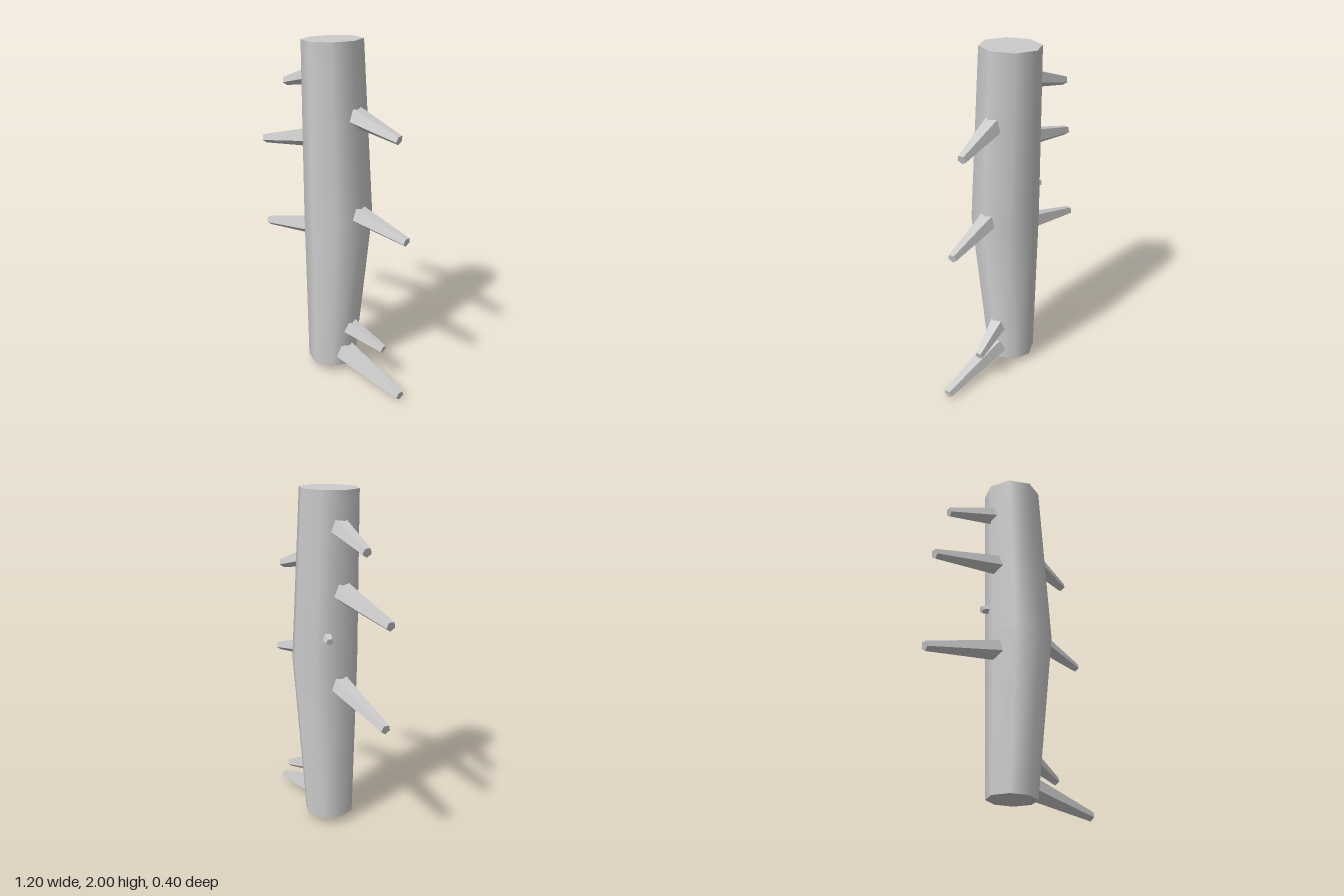
import * as THREE from 'three';

const bark = new THREE.MeshStandardMaterial({ color: 0xcccccc });
bark.name = 'pale grey bark';
const twigBark = new THREE.MeshStandardMaterial({ color: 0xcccccc, flatShading: true });
twigBark.name = 'pale grey branch';

// Eight-sided trunk that swells and leans to its left at mid height
function createTrunk() {
  const rings = [
    { x: 0.005, y: 0.04, r: 0.142, tilt: -0.035 },
    { x: 0.056, y: 1.0, r: 0.195, tilt: 0 },
    { x: 0.004, y: 1.995, r: 0.17, tilt: 0.03 },
  ];
  const geometry = new THREE.CylinderGeometry(1, 1, 2, 8, 2);
  const p = geometry.attributes.position;
  for (let i = 0; i < p.count; i++) {
    const ring = rings[Math.round(p.getY(i)) + 1];
    const dx = p.getX(i) * ring.r;
    p.setXYZ(i, ring.x + dx, ring.y + dx * ring.tilt, p.getZ(i) * ring.r * 1.02);
  }
  const trunk = new THREE.Mesh(geometry, bark);
  trunk.name = 'trunk';
  return trunk;
}

// Tapered five-sided branch, one ridge pointing down, rooted inside the trunk
function createBranch(name, root, tip, rootRadius, tipRadius) {
  const a = new THREE.Vector3(...root);
  const b = new THREE.Vector3(...tip);
  const along = b.clone().sub(a).normalize();
  a.addScaledVector(along, -0.05);
  const down = new THREE.Vector3(0, -1, 0);
  down.addScaledVector(along, -down.dot(along)).normalize();
  const side = new THREE.Vector3().crossVectors(along, down);

  const geometry = new THREE.CylinderGeometry(tipRadius, rootRadius, a.distanceTo(b), 5);
  geometry.applyMatrix4(new THREE.Matrix4().makeBasis(side, along, down));
  const branch = new THREE.Mesh(geometry, twigBark);
  branch.position.copy(a).add(b).multiplyScalar(0.5);
  branch.name = name;
  return branch;
}

export function createModel() {
  const model = new THREE.Group();
  model.name = 'branchedTrunk';
  model.add(createTrunk());

  // name, root on the trunk, tip, root radius, tip radius
  const branches = [
    ['leftUpperBranch', [0.19, 1.59, -0.012], [0.472, 1.512, -0.044], 0.064, 0.028],
    ['leftMiddleBranch', [0.23, 1.033, -0.003], [0.56, 0.963, -0.03], 0.062, 0.027],
    ['leftLowerBranch', [0.16, 0.288, -0.012], [0.387, 0.215, -0.055], 0.06, 0.026],
    ['leftLowestBranch', [0.13, 0.122, 0.01], [0.592, 0.029, 0.017], 0.071, 0.029],
    ['rightUpperBranch', [-0.14, 1.785, -0.015], [-0.445, 1.698, -0.046], 0.062, 0.028],
    ['rightMiddleBranch', [-0.12, 1.43, 0.01], [-0.577, 1.33, 0.018], 0.066, 0.029],
    ['rightLowerBranch', [-0.11, 0.88, 0.005], [-0.593, 0.772, -0.012], 0.066, 0.029],
    ['rightStub', [-0.1, 1.175, -0.075], [-0.153, 1.162, -0.09], 0.04, 0.022],
  ];
  for (const branch of branches) model.add(createBranch(...branch));
  return model;
}
